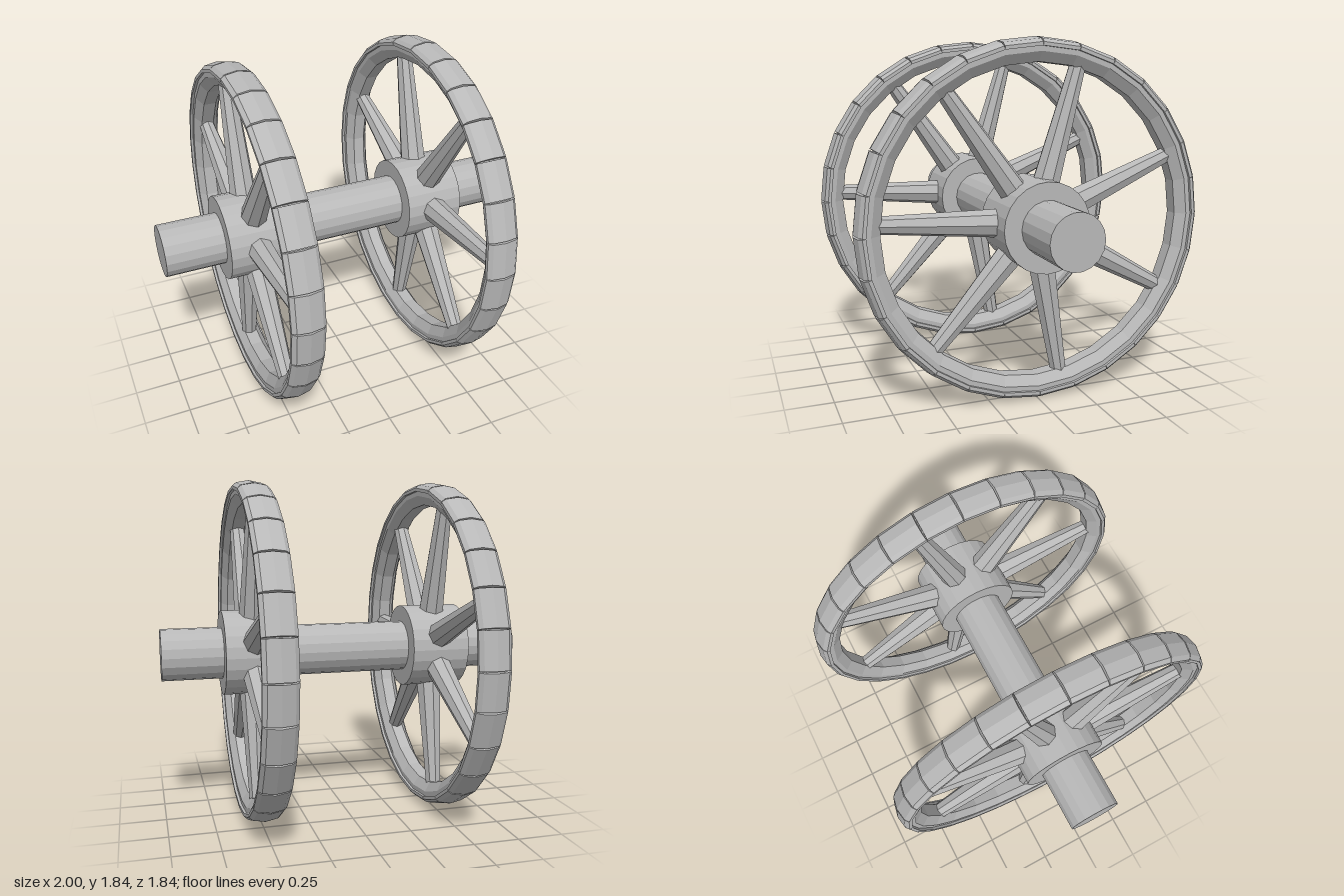
import * as THREE from 'three';

const AXLE_Y = 0.925;
const WHEEL_X = 0.518;
const PLATES = 28;
const SPOKES = 7;

export function createModel() {
  const model = new THREE.Group();
  model.name = 'wheelAxle';
  const grey = new THREE.MeshStandardMaterial({ color: 0xb8b8b8 });
  grey.flatShading = true;
  grey.name = 'plain grey';

  const add = (parent, geometry, name) => {
    const mesh = new THREE.Mesh(geometry, grey);
    mesh.name = name;
    parent.add(mesh);
    return mesh;
  };

  // Cylinder lying along x
  const bar = (radius, length, sides) =>
    new THREE.CylinderGeometry(radius, radius, length, sides).rotateZ(Math.PI / 2);

  add(model, bar(0.14, 2, 18), 'axle').position.y = AXLE_Y;

  // Rim: faceted ring with a rounded, slightly wide section (radius, x)
  const section = [
    [0.8, -0.035], [0.85, -0.07], [0.885, -0.07], [0.897, -0.05],
    [0.897, 0.05], [0.885, 0.07], [0.85, 0.07], [0.8, 0.035], [0.8, -0.035],
  ].map(([r, x]) => new THREE.Vector2(r, x));
  const rimGeometry = new THREE.LatheGeometry(section, PLATES).rotateZ(-Math.PI / 2);

  // Tread plate: ridged strip with bevelled sides, extruded along the tangent
  const plateShape = new THREE.Shape([
    [-0.085, 0.87], [0.085, 0.87], [0.085, 0.888],
    [0.065, 0.905], [0, 0.917], [-0.065, 0.905], [-0.085, 0.888],
  ].map(([x, r]) => new THREE.Vector2(x, r)));
  const plateLength = 0.196;
  const plateGeometry = new THREE.ExtrudeGeometry(plateShape, {
    depth: plateLength, bevelEnabled: false,
  }).translate(0, 0, -plateLength / 2);

  // Spoke: eight-sided taper from hub to rim
  const spokeGeometry = new THREE.CylinderGeometry(0.043, 0.074, 0.65, 8)
    .translate(0, 0.495, 0);

  for (const side of [-1, 1]) {
    const wheel = new THREE.Group();
    wheel.name = side > 0 ? 'leftWheel' : 'rightWheel';
    wheel.position.set(side * WHEEL_X - (side > 0 ? 0.005 : 0), AXLE_Y, 0);
    model.add(wheel);

    add(wheel, bar(0.23, 0.325, 24), 'hub');
    add(wheel, rimGeometry, 'rim');

    for (let i = 0; i < PLATES; i++) {
      add(wheel, plateGeometry, 'treadPlate').rotation.x = ((i + 0.5) / PLATES) * Math.PI * 2;
    }
    for (let i = 0; i < SPOKES; i++) {
      const angle = THREE.MathUtils.degToRad(15.9) + (i / SPOKES) * Math.PI * 2;
      add(wheel, spokeGeometry, 'spoke').rotation.x = -angle;
    }
  }
  return model;
}
